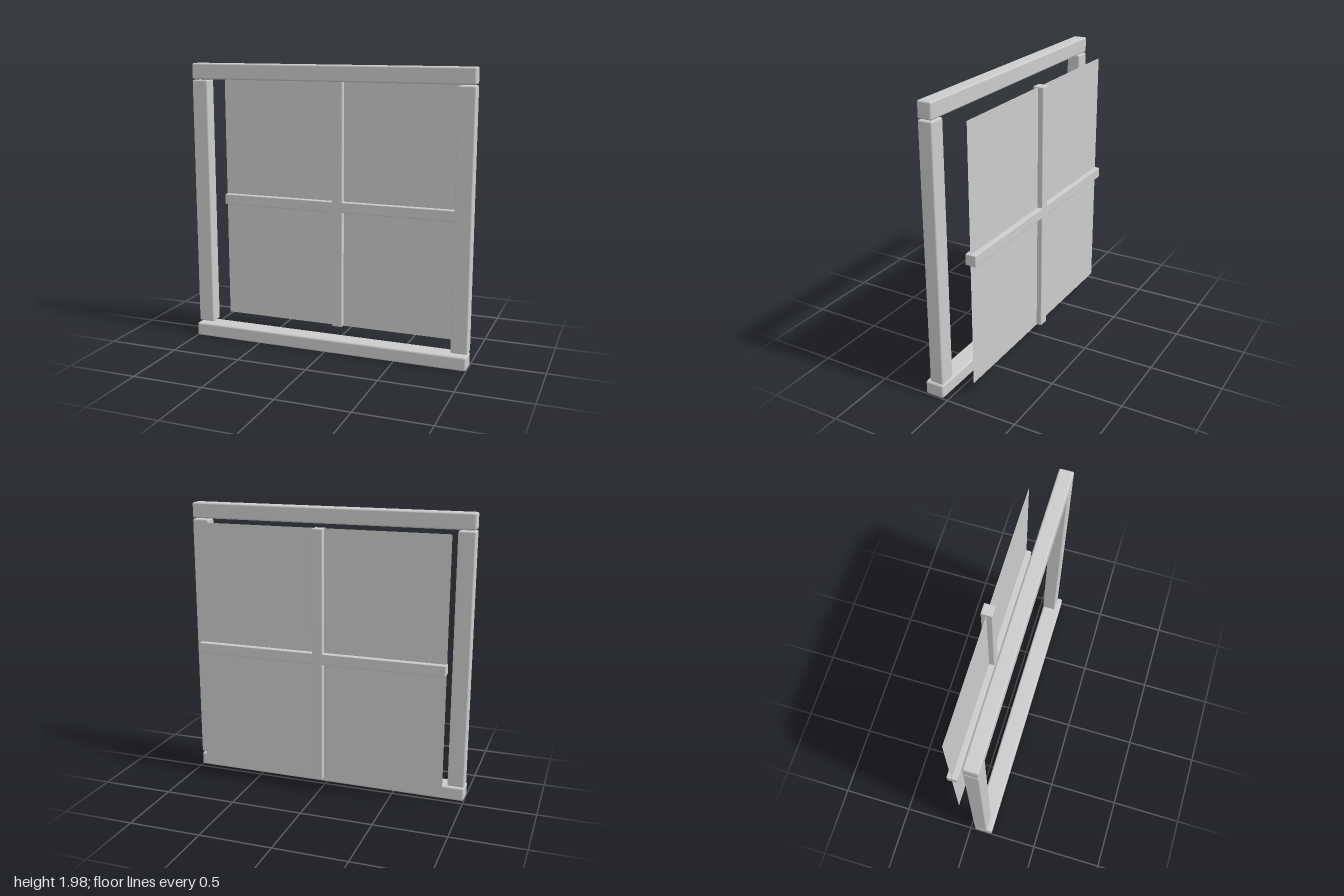
import * as THREE from 'three';
import { RoundedBoxGeometry } from 'three/addons/geometries/RoundedBoxGeometry.js';

export function createModel() {
  const group = new THREE.Group();
  group.name = 'window';
  const material = new THREE.MeshStandardMaterial({ color: 0xcccccc });
  const paneMaterial = new THREE.MeshStandardMaterial({ color: 0xcccccc, side: THREE.DoubleSide });

  // Softly rounded bar given by its extents on each axis
  function bar(name, [x0, x1], [y0, y1], [z0, z1], radius) {
    const geometry = new RoundedBoxGeometry(x1 - x0, y1 - y0, z1 - z0, 2, radius);
    const mesh = new THREE.Mesh(geometry, material);
    mesh.position.set((x0 + x1) / 2, (y0 + y1) / 2, (z0 + z1) / 2);
    mesh.name = name;
    group.add(mesh);
  }

  // Outer frame: head rail, deeper sill and two side posts
  const frameZ = [0.031, 0.128];
  bar('topRail', [-1, 1], [1.87, 1.98], frameZ, 0.012);
  bar('sill', [-1, 1], [0, 0.097], [0.031, 0.165], 0.014);
  bar('leftPost', [0.884, 1], [0.104, 1.864], frameZ, 0.01);
  bar('rightPost', [-1, -0.884], [0.104, 1.864], frameZ, 0.01);

  // Crossed glazing bars set behind the frame
  const barZ = [-0.165, -0.09];
  bar('verticalGlazingBar', [-0.038, 0.038], [0.104, 1.864], barZ, 0.006);
  bar('horizontalGlazingBar', [-0.88, 0.88], [0.946, 1.022], barZ, 0.006);

  // Thin pane running through the middle of the glazing bars
  const pane = new THREE.Mesh(new THREE.PlaneGeometry(1.76, 1.76), paneMaterial);
  pane.position.set(0, 0.984, -0.128);
  pane.name = 'pane';
  group.add(pane);

  return group;
}
